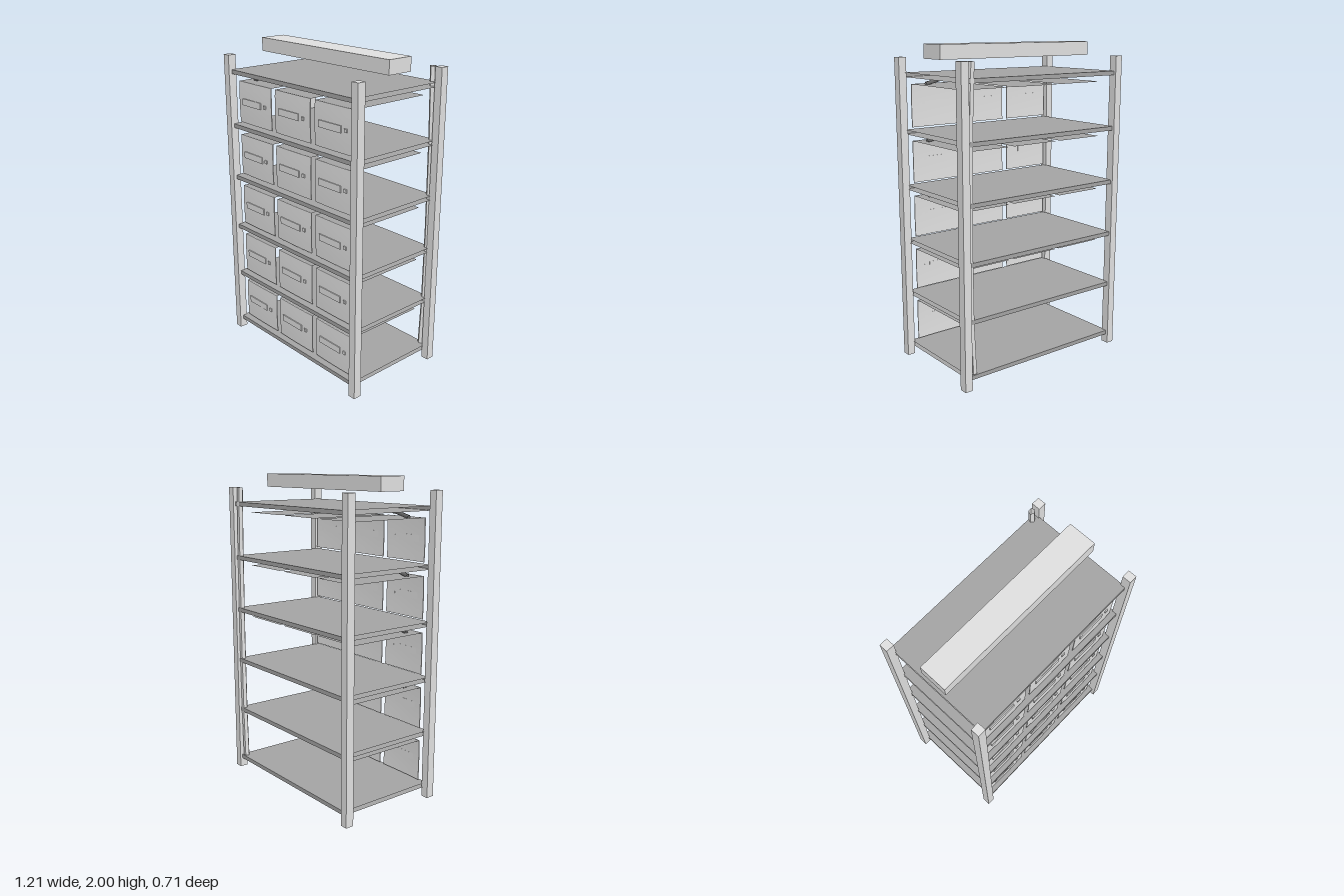
import * as THREE from 'three';

const material = (name, color) => {
  const m = new THREE.MeshStandardMaterial({ color, side: THREE.DoubleSide });
  m.name = name;
  return m;
};

// Box with some faces left open (face order: +x, -x, +y, -y, +z, -z)
function openBox(w, h, d, open) {
  const g = new THREE.BoxGeometry(w, h, d);
  const index = Array.from(g.index.array).filter((_, i) => !open.includes(Math.floor(i / 6)));
  g.setIndex(index);
  g.clearGroups();
  return g;
}

// Thin panel that bulges slightly towards its middle
function bulgedPanel(w, h, d, bulge) {
  const g = new THREE.BoxGeometry(w, h, d, 6, 6, 1);
  const p = g.attributes.position;
  for (let i = 0; i < p.count; i++) {
    const u = (2 * p.getX(i)) / w, v = (2 * p.getY(i)) / h;
    p.setZ(i, p.getZ(i) - (bulge * (u * u + v * v)) / 2);
  }
  g.computeVertexNormals();
  return g;
}

// Straight-segmented tube through the given points
function rod(points, radius, sides) {
  const path = new THREE.CurvePath();
  const v = points.map((p) => new THREE.Vector3(...p));
  for (let i = 1; i < v.length; i++) path.add(new THREE.LineCurve3(v[i - 1], v[i]));
  return new THREE.TubeGeometry(path, 48, radius, sides);
}

export function createModel() {
  const model = new THREE.Group();
  model.name = 'storageRack';
  const light = material('light metal', 0xdfdfdf);
  const shelfGrey = material('shelf grey', 0xa3a3a3);
  const dark = material('dark tube', 0x6a6a6a);

  const add = (name, geometry, mat, x, y, z, parent = model) => {
    const mesh = new THREE.Mesh(geometry, mat);
    mesh.name = name;
    mesh.position.set(x, y, z);
    parent.add(mesh);
  };

  // Corner posts, hollow and open underneath
  const post = openBox(0.05, 1.917, 0.053, [3]);
  for (const x of [-0.583, 0.581])
    for (const z of [-0.329, 0.331]) add('cornerPost', post, light, x, 0.9585, z);

  // Shelves, hollow and open at both ends
  const pitch = 0.3478;
  const shelf = openBox(1.13, 0.026, 0.675, [0, 1]);
  for (let i = 0; i < 6; i++) add('shelf', shelf, shelfGrey, -0.001, 0.072 + i * pitch, -0.002);

  // Rows of drawers with a bent tube above each row
  const front = bulgedPanel(0.327, 0.264, 0.005, 0.006);
  const handle = new THREE.BoxGeometry(0.186, 0.042, 0.012);
  const button = new THREE.BoxGeometry(0.021, 0.021, 0.012);
  const ceiling = new THREE.PlaneGeometry(0.327, 0.55).rotateX(Math.PI / 2);
  const tube = rod([[-0.475, -0.022, 0], [-0.36, 0.004, 0], [0.36, 0.004, 0], [0.474, -0.022, 0]], 0.012, 6);
  for (let row = 0; row < 5; row++) {
    const y = 0.232 + row * pitch;
    for (const x of [-0.365, -0.002, 0.364]) {
      const drawer = new THREE.Group();
      drawer.name = 'drawer';
      drawer.position.set(x, y, 0);
      model.add(drawer);
      add('drawerFront', front, light, 0, 0, 0.307, drawer);
      add('drawerHandle', handle, light, -0.03, 0.005, 0.309, drawer);
      add('drawerButton', button, light, 0.101, 0.005, 0.309, drawer);
      add('drawerCeiling', ceiling, shelfGrey, 0, 0.131, 0.028, drawer);
    }
    add('bentTube', tube, dark, 0, 0.39 + row * pitch, 0.219);
  }

  // Slightly bowed five-sided pipe in the back left corner
  const pipe = rod([[0.52, 1.915, -0.325], [0.535, 1.5, -0.322], [0.542, 0.9, -0.321],
    [0.538, 0.4, -0.321], [0.525, 0.09, -0.323]], 0.02, 5).toNonIndexed();
  pipe.computeVertexNormals();
  add('cornerPipe', pipe, light, 0, 0, 0);

  // Long box on top, open underneath
  add('topBox', openBox(1.13, 0.085, 0.174, [3]), light, -0.001, 1.9575, 0);

  return model;
}
